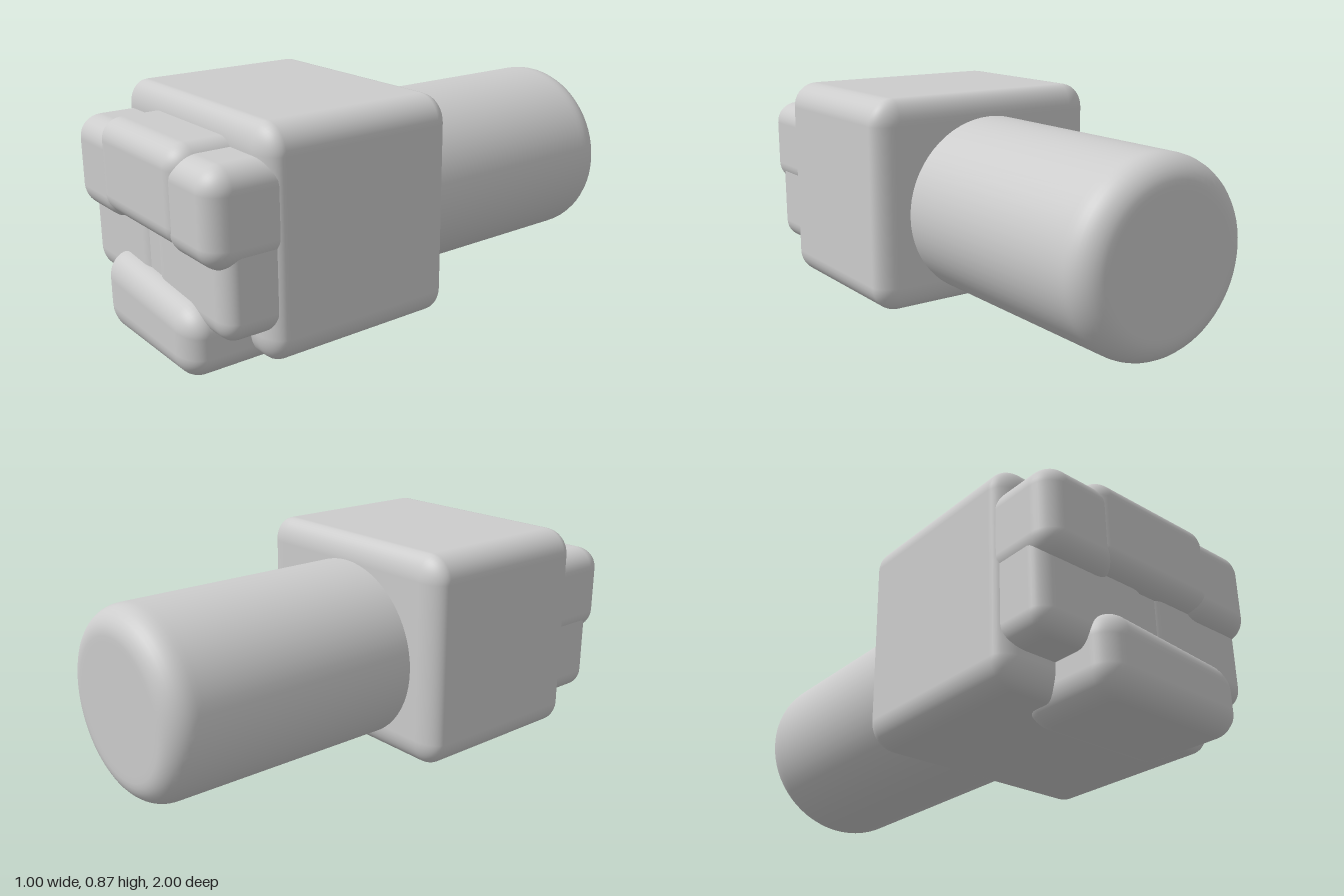
import * as THREE from 'three';
import { RoundedBoxGeometry } from 'three/addons/geometries/RoundedBoxGeometry.js';

const grey = new THREE.MeshStandardMaterial({ color: 0xcccccc });
grey.name = 'plain grey';

// Rounded block from min/max corners; r rounds x and y, rz rounds along z
function block(name, [x0, y0, z0], [x1, y1, z1], r, rz = r) {
  const k = rz / r;
  const geo = new RoundedBoxGeometry(x1 - x0, y1 - y0, (z1 - z0) / k, 5, r);
  geo.scale(1, 1, k);
  geo.translate((x0 + x1) / 2, (y0 + y1) / 2, (z0 + z1) / 2);
  const mesh = new THREE.Mesh(geo, grey);
  mesh.name = name;
  return mesh;
}

export function createModel() {
  const hand = new THREE.Group();
  hand.name = 'fist';

  // Palm
  hand.add(block('palm', [-0.5, 0.05, 0.01], [0.5, 0.87, 0.77], 0.1, 0.065));

  // Forearm: slightly oval cylinder with a rounded end
  const profile = [new THREE.Vector2(0.365, -0.1), new THREE.Vector2(0.365, 0.88)];
  for (let i = 0; i <= 8; i++) {
    const a = (i / 8) * Math.PI / 2;
    profile.push(new THREE.Vector2(0.265 + 0.1 * Math.cos(a), 0.9 + 0.1 * Math.sin(a)));
  }
  profile.push(new THREE.Vector2(0.24, 1), new THREE.Vector2(0, 1));
  const armGeo = new THREE.LatheGeometry(profile, 64);
  armGeo.rotateX(-Math.PI / 2);
  armGeo.scale(1, 0.965, 1);
  armGeo.translate(0, 0.424, 0);
  const forearm = new THREE.Mesh(armGeo, grey);
  forearm.name = 'forearm';
  hand.add(forearm);

  // Upper finger joints: two outer blocks and a taller middle one
  hand.add(block('middleKnuckles', [-0.29, 0.44, 0.6], [0.29, 0.793, 0.985], 0.08));
  for (const [side, s] of [['left', 1], ['right', -1]]) {
    const [a, b] = s > 0 ? [0.16, 0.492] : [-0.492, -0.16];
    hand.add(block(side + 'OuterKnuckle', [a, 0.42, 0.6], [b, 0.765, 0.98], 0.085));
    // Lower finger joints, meeting at the centre
    const [c, d] = s > 0 ? [-0.004, 0.485] : [-0.485, 0.004];
    hand.add(block(side + 'LowerFingers', [c, 0.17, 0.6], [d, 0.56, 0.93], 0.08, 0.06));
  }
  // Fills the rounded gap so only a shallow crease stays between the fingers
  hand.add(block('fingerCrease', [-0.12, 0.2, 0.6], [0.12, 0.56, 0.922], 0.04));

  // Thumb, its top sinking towards the base
  const thumb = block('thumb', [-0.285, 0.003, 0.58], [0.355, 0.303, 1.0], 0.1, 0.08);
  const p = thumb.geometry.attributes.position;
  for (let i = 0; i < p.count; i++) {
    const y = p.getY(i);
    const drop = Math.max(0, p.getX(i) - 0.1) * 0.25;
    p.setY(i, y - drop * Math.max(0, (y - 0.05) / 0.25));
  }
  hand.add(thumb);

  return hand;
}
